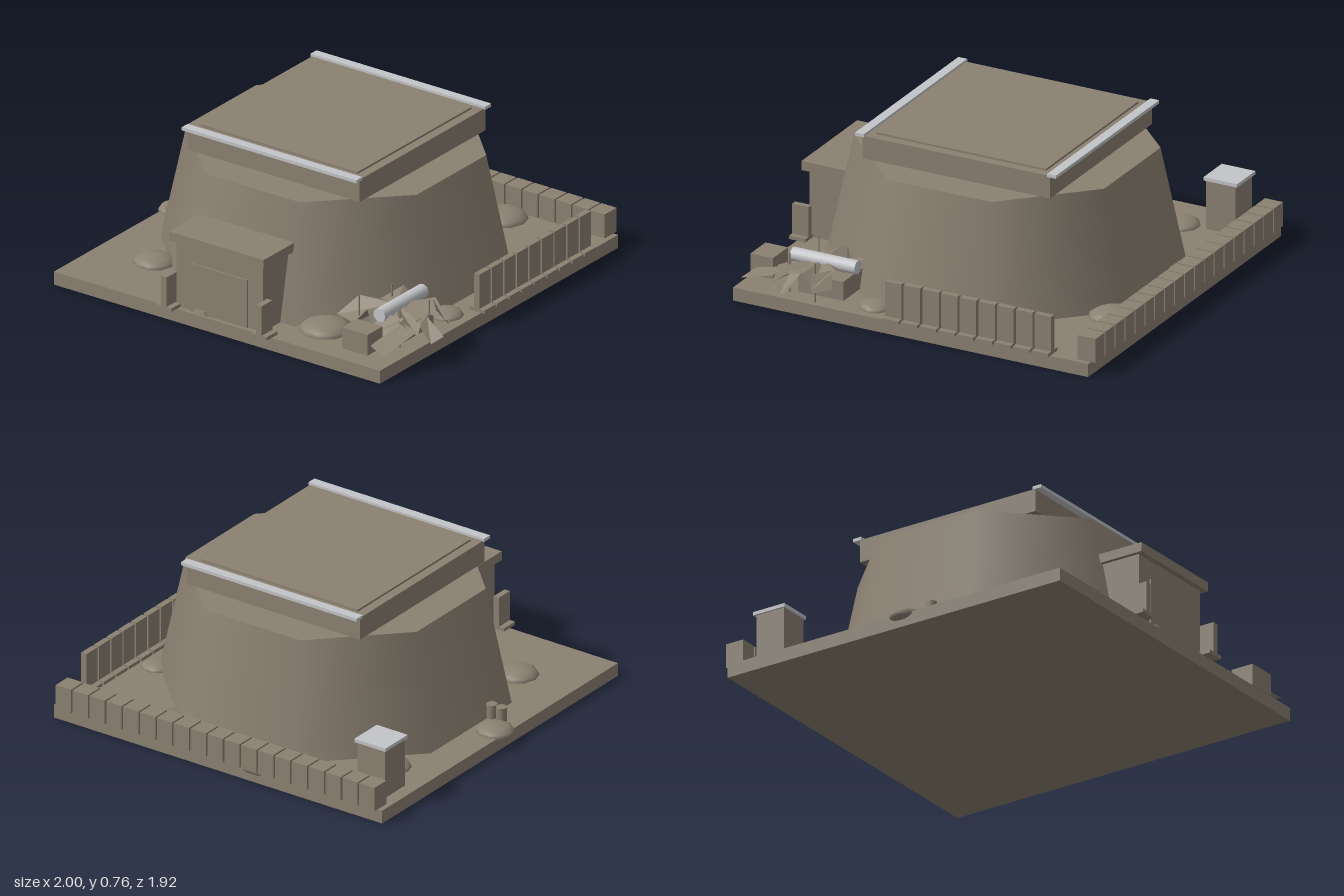
import * as THREE from 'three';

const stone = new THREE.MeshStandardMaterial({ color: 0x8b8172 });
stone.name = 'khakiStone';
const metal = new THREE.MeshStandardMaterial({ color: 0xc4c5c8 });
metal.name = 'paleMetal';
const cloth = new THREE.MeshStandardMaterial({ color: 0x8b8172, side: THREE.DoubleSide, flatShading: true });
cloth.name = 'khakiCloth';

const GROUND = 0.065;
const CX = -0.04, CZ = -0.012; // centre of the tower

export function createModel() {
  const model = new THREE.Group();

  const add = (name, geometry, material, x, y, z, parent = model) => {
    const mesh = new THREE.Mesh(geometry, material);
    mesh.name = name;
    mesh.position.set(x, y, z);
    parent.add(mesh);
    return mesh;
  };
  // Box given by its limits on each axis
  const block = (name, [x0, x1], [y0, y1], [z0, z1], material = stone, parent = model) =>
    add(name, new THREE.BoxGeometry(x1 - x0, y1 - y0, z1 - z0), material,
      (x0 + x1) / 2, (y0 + y1) / 2, (z0 + z1) / 2, parent);

  // Ground slab
  block('groundSlab', [-0.965, 0.883], [0, GROUND], [-0.935, 0.915]);

  // Eight-sided tapering tower
  const k = 1 / Math.cos(Math.PI / 8);
  const tower = new THREE.CylinderGeometry(0.652 * k, 0.765 * k, 0.57, 8);
  tower.rotateY(Math.PI / 8);
  add('tower', tower, stone, CX, GROUND + 0.285, CZ);

  // Square upper storey with raised deck and metal edge rails
  block('upperStorey', [CX - 0.488, CX + 0.488], [0.635, 0.747], [CZ - 0.488, CZ + 0.488]);
  block('roofDeck', [CX - 0.443, CX + 0.443], [0.745, 0.757], [CZ - 0.443, CZ + 0.443]);
  for (const s of [-1, 1]) {
    const z = CZ + s * 0.5;
    block('roofRail', [CX - 0.495, CX + 0.495], [0.743, 0.759], [z - 0.023, z + 0.023], metal);
  }

  // Entrance porch
  block('porch', [-0.29, 0.2], [GROUND, 0.4], [0.5, 0.887]);
  block('porchRoof', [-0.31, 0.225], [0.4, 0.445], [0.5, 0.916]);
  block('door', [-0.205, 0.115], [GROUND, 0.305], [0.886, 0.895]);
  const step = new THREE.CylinderGeometry(0.03, 0.043, 0.02, 8);
  step.scale(1, 1, 0.4);
  add('doorStep', step, stone, -0.147, GROUND + 0.01, 0.897);

  // Upright wall panel on a wide foot
  const wallPanel = (name, x, z, top) => {
    const g = new THREE.Group();
    g.name = name;
    block('panelFoot', [x - 0.044, x + 0.044], [GROUND, 0.082], [z - 0.043, z + 0.043], stone, g);
    block('panelWall', [x - 0.015, x + 0.015], [0.082, top], [z - 0.043, z + 0.043], stone, g);
    model.add(g);
  };
  wallPanel('porchPanel', -0.312, 0.913, 0.23);
  wallPanel('porchPanel', 0.226, 0.913, 0.23);
  for (let i = 0; i < 9; i++) wallPanel('sideWallPanel', 0.858, -0.694 + i * 0.0975, 0.255);

  // Rear row of barrier blocks
  for (let i = 0; i < 19; i++) {
    const x = -0.94 + i * 0.095;
    block('rearBarrier', [x, x + 0.086], [GROUND, 0.185], [-0.96, -0.866]);
  }

  // Corner hut with metal lid
  block('cornerHut', [-0.9, -0.743], [GROUND, 0.308], [-0.82, -0.665]);
  block('hutLid', [-0.91, -0.735], [0.308, 0.325], [-0.832, -0.657], metal);

  // Barrels
  for (const x of [-0.87, -0.815]) {
    add('barrel', new THREE.CylinderGeometry(0.026, 0.026, 0.068, 12), stone, x, GROUND + 0.034, 0.135);
  }

  // Low boulders: x, z, radius
  const boulders = [
    [-0.91, -0.03 + 0.06, 0.09], [-0.738, -0.54, 0.091], [-0.658, 0.556, 0.1],
    [-0.235, -0.845, 0.116], [0.348, -0.775, 0.117], [0.73, -0.34, 0.076],
    [0.765, 0.235, 0.08], [0.41, 0.69, 0.124],
  ];
  for (const [x, z, r] of boulders) {
    const boulder = add('boulder', new THREE.SphereGeometry(r, 10, 8), stone, x, GROUND, z);
    boulder.scale.y = 0.42;
  }

  // Collapsed shelter in the front corner
  const shelter = new THREE.Group();
  shelter.name = 'shelter';
  model.add(shelter);
  block('shelterBase', [0.58, 0.8], [0.075, 0.17], [0.385, 0.62], stone, shelter);
  block('crate', [0.64, 0.785], [0.1, 0.205], [0.76, 0.877], stone, shelter);

  const pipe = new THREE.CylinderGeometry(0.033, 0.033, 0.338, 20);
  pipe.rotateX(Math.PI / 2);
  add('pipe', pipe, metal, 0.717, 0.217, 0.523, shelter);

  for (const [x, z] of [[0.565, 0.64], [0.62, 0.46], [0.86, 0.5], [0.81, 0.66]]) {
    add('shelterPole', new THREE.CylinderGeometry(0.004, 0.004, 0.195, 6), stone, x, 0.165, z, shelter);
  }

  // Crumpled cover: fan around a centre, rim points as x, y, z
  const rim = [
    [0.444, 0.135, 0.647], [0.5, 0.21, 0.55], [0.55, 0.17, 0.455], [0.62, 0.225, 0.37],
    [0.73, 0.18, 0.4], [0.83, 0.235, 0.41], [0.95, 0.17, 0.47], [0.89, 0.215, 0.545],
    [0.9, 0.2, 0.62], [0.93, 0.16, 0.685], [0.84, 0.21, 0.7], [0.72, 0.15, 0.735],
    [0.64, 0.22, 0.68], [0.57, 0.14, 0.69],
  ];
  const centre = [0.7, 0.215, 0.54];
  const cover = [];
  rim.forEach((p, i) => cover.push(...centre, ...rim[(i + 1) % rim.length], ...p));
  // Loose flaps: four corners each
  const flaps = [
    [[0.89, 0.21, 0.56], [0.87, 0.205, 0.62], [0.965, 0.115, 0.63], [1.0, 0.145, 0.58]],
    [[0.83, 0.2, 0.67], [0.93, 0.19, 0.685], [0.877, 0.12, 0.877], [0.78, 0.14, 0.85]],
    [[0.7, 0.21, 0.65], [0.83, 0.22, 0.66], [0.82, 0.13, 0.78], [0.7, 0.15, 0.75]],
    [[0.83, 0.23, 0.43], [0.9, 0.22, 0.5], [0.95, 0.15, 0.47], [0.88, 0.16, 0.4]],
  ];
  for (const [a, b, c, d] of flaps) cover.push(...a, ...b, ...c, ...a, ...c, ...d);
  const sheet = new THREE.BufferGeometry();
  sheet.setAttribute('position', new THREE.Float32BufferAttribute(cover, 3));
  sheet.computeVertexNormals();
  add('shelterCover', sheet, cloth, 0, 0, 0, shelter);

  return model;
}
